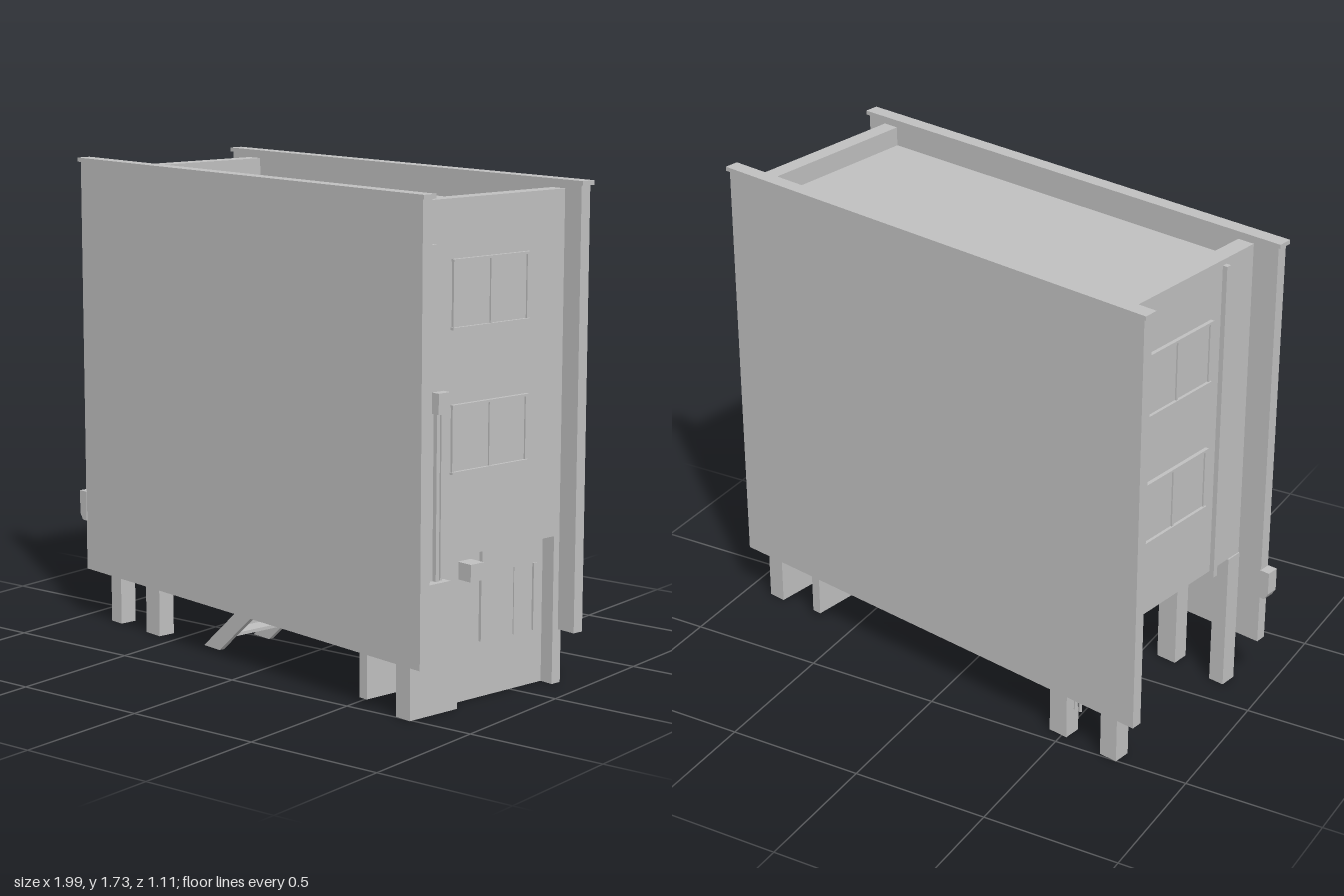
import * as THREE from 'three';

export function createModel() {
  const grey = new THREE.MeshStandardMaterial({ color: 0xc0c0c0 });
  grey.name = 'plain grey';
  const model = new THREE.Group();
  model.name = 'building';
  // The whole building stands at a slight angle
  model.rotation.y = -0.196;

  // Box given by its lower and upper limits on each axis
  function block(name, x0, x1, y0, y1, z0, z1) {
    const mesh = new THREE.Mesh(new THREE.BoxGeometry(x1 - x0, y1 - y0, z1 - z0), grey);
    mesh.position.set((x0 + x1) / 2, (y0 + y1) / 2, (z0 + z1) / 2);
    mesh.name = name;
    model.add(mesh);
    return mesh;
  }

  // Extrusion of an outline in the x-y plane between two depths
  function plate(name, points, z0, z1) {
    const shape = new THREE.Shape(points.map(([x, y]) => new THREE.Vector2(x, y)));
    const geo = new THREE.ExtrudeGeometry(shape, { depth: z1 - z0, bevelEnabled: false });
    const mesh = new THREE.Mesh(geo, grey);
    mesh.position.z = z0;
    mesh.name = name;
    model.add(mesh);
  }

  // Upper floors, with a sunken roof between two end parapets
  block('upperFloors', -0.81, 0.85, 0.52, 1.63, -0.338, 0.338);
  block('rightParapet', 0.79, 0.85, 1.63, 1.7, -0.338, 0.338);
  block('leftParapet', -0.81, -0.747, 1.63, 1.7, -0.338, 0.338);

  // Large party walls, each with a coping
  for (const [name, s] of [['front', 1], ['back', -1]]) {
    const wall = [0.336 * s, 0.377 * s].sort((a, b) => a - b);
    const cap = [0.33 * s, 0.384 * s].sort((a, b) => a - b);
    block(name + 'Wall', -0.909, 0.925, 0.19, 1.715, ...wall);
    block(name + 'Coping', -0.92, 0.937, 1.715, 1.73, ...cap);
  }

  // Two-light windows on both ends: glass, frame, mullion, head and sill
  function windowUnit(face, dir, zA, zB, y0, y1) {
    const out = (name, d, ya, yb, za, zb) => {
      const [a, b] = [face, face + dir * d].sort((p, q) => p - q);
      block(name, a, b, ya, yb, za, zb);
    };
    const t = 0.008, mid = (zA + zB) / 2;
    out('windowGlass', 0.003, y0, y1, zA, zB);
    for (const z of [zA, mid - t / 2, zB - t]) out('windowUpright', 0.009, y0, y1, z, z + t);
    out('windowHead', 0.014, y1 - t, y1, zA - 0.004, zB + 0.004);
    out('windowSill', 0.014, y0, y0 + t, zA - 0.004, zB + 0.004);
  }
  for (const [y0, y1] of [[0.8, 1.03], [1.275, 1.505]]) {
    windowUnit(0.85, 1, -0.164, 0.178, y0, y1);
    windowUnit(-0.81, -1, -0.25, 0.108, y0, y1);
  }

  // Ground-floor end wall with a recessed entrance
  block('entrancePier', 0.783, 0.85, 0, 0.52, 0.137, 0.35);
  block('entrancePost', 0.783, 0.85, 0, 0.52, -0.35, -0.31);
  block('entranceBackWall', 0.783, 0.797, 0, 0.52, -0.31, 0.137);
  block('entranceDoor', 0.797, 0.808, 0.195, 0.43, -0.255, -0.01);
  block('entranceDoorHead', 0.797, 0.812, 0.43, 0.52, -0.265, -0.01);
  block('entranceDoorJamb', 0.797, 0.816, 0.195, 0.43, -0.265, -0.25);
  block('entranceDoorMullion', 0.797, 0.812, 0.195, 0.43, -0.17, -0.16);
  block('entranceLamp', 0.797, 0.86, 0.425, 0.485, 0.03, 0.09);

  // Inner cross wall
  block('crossWall', 0.589, 0.625, 0.02, 0.52, -0.35, 0.338);

  // Four columns and two drain pipes under the other end
  for (const [x0, x1, z0, z1] of [
    [-0.815, -0.755, 0.27, 0.335], [-0.82, -0.75, -0.35, -0.285],
    [-0.6, -0.52, 0.27, 0.335], [-0.6, -0.525, -0.35, -0.285],
  ]) block('column', x0, x1, 0, 0.52, z0, z1);
  for (const x of [-0.637, -0.615]) {
    const pipe = new THREE.Mesh(new THREE.CylinderGeometry(0.006, 0.006, 0.41, 8), grey);
    pipe.position.set(x, 0.315, -0.32);
    pipe.name = 'drainPipe';
    model.add(pipe);
  }

  // Staircase: two sloping stringers and open treads
  const run = 0.605;
  for (const z of [0.035, 0.265]) {
    plate('stairStringer',
      [[-0.32, 0], [-0.23, 0], [-0.23 + run, 0.52], [-0.32 + run, 0.52]], z, z + 0.02);
  }
  for (let i = 1; i < 9; i++) {
    const f = i / 9, x = -0.31 + run * f, y = 0.52 * f;
    block('stairTread', x, x + 0.07, y, y + 0.012, 0.055, 0.265);
  }

  // Meter cabinet, conduits and junction boxes on the right end
  block('meterCabinet', 0.85, 0.885, 0.3, 0.455, 0.205, 0.302);
  block('tallConduit', 0.85, 0.863, 0.455, 1.53, 0.276, 0.292);
  block('conduitCap', 0.85, 0.875, 1.53, 1.56, 0.268, 0.296);
  block('shortConduit', 0.85, 0.866, 0.455, 1.01, 0.24, 0.254);
  block('shortConduit', 0.85, 0.862, 0.455, 1.01, 0.222, 0.23);
  block('junctionBox', 0.85, 0.882, 1.01, 1.08, 0.21, 0.262);

  // Downpipe on the left end
  block('downpipe', -0.828, -0.81, 0.5, 1.68, 0.166, 0.186);

  // Chamfered cabinet on the end of the front wall
  plate('wallEndCabinet', [
    [-0.905, 0.375], [-0.93, 0.375], [-0.945, 0.4], [-0.945, 0.485], [-0.905, 0.485],
  ], 0.333, 0.38);

  const root = new THREE.Group();
  root.name = 'buildingRoot';
  root.add(model);
  return root;
}
